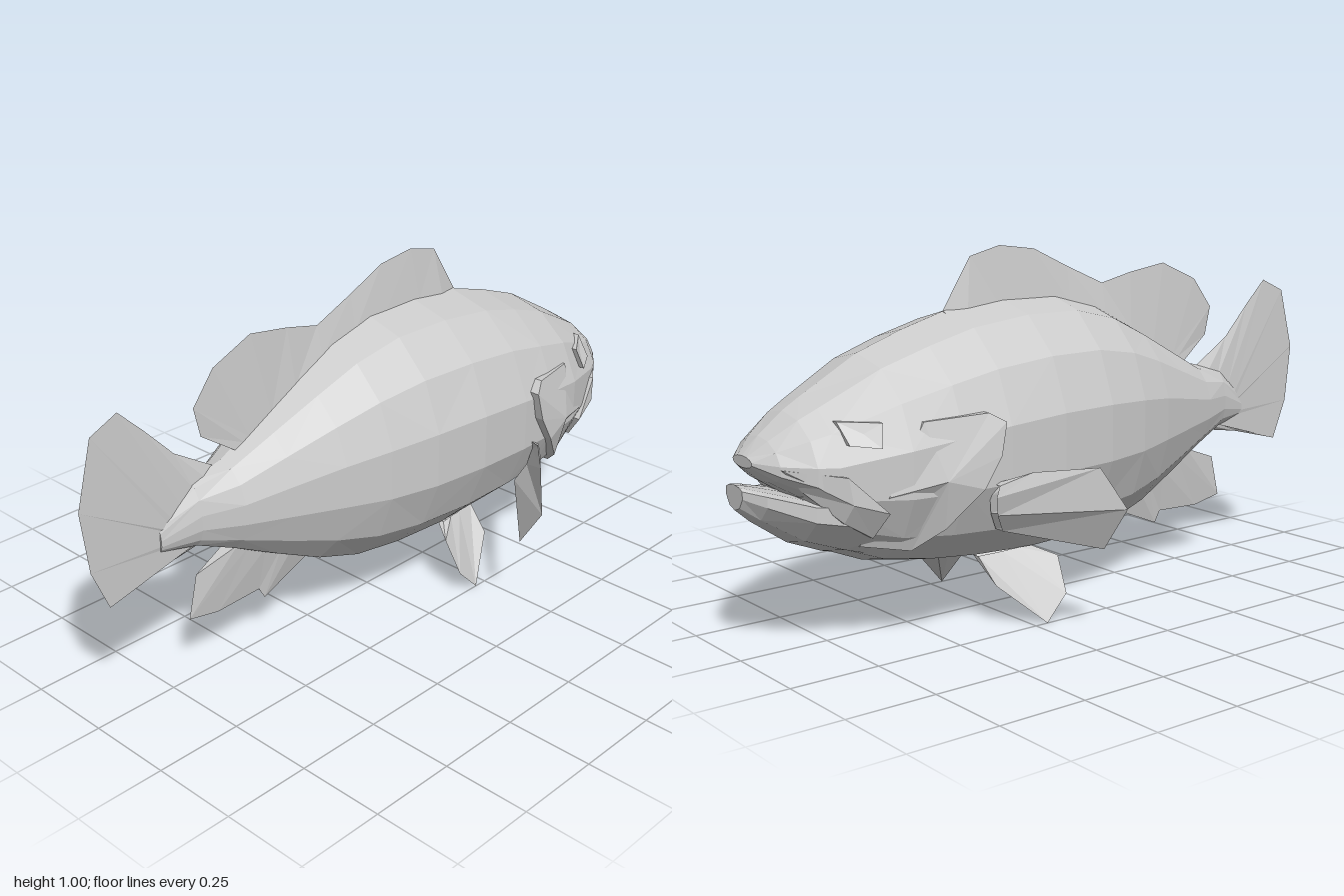
import * as THREE from 'three';

const material = new THREE.MeshStandardMaterial({ color: 0xcccccc, flatShading: true, side: THREE.DoubleSide });

// Body stations: z, top y, bottom y, half width, y of the widest line
const BODY = [
  [-0.975, 0.525, 0.495, 0.05, 0.51], [-0.93, 0.57, 0.455, 0.115, 0.49],
  [-0.86, 0.625, 0.41, 0.175, 0.47], [-0.81, 0.655, 0.27, 0.2, 0.46],
  [-0.64, 0.75, 0.2, 0.265, 0.47], [-0.5, 0.8, 0.175, 0.29, 0.48],
  [-0.36, 0.84, 0.16, 0.3, 0.49], [-0.18, 0.862, 0.15, 0.3, 0.5],
  [0, 0.86, 0.155, 0.28, 0.5], [0.15, 0.82, 0.17, 0.245, 0.5],
  [0.28, 0.755, 0.21, 0.2, 0.5], [0.42, 0.68, 0.28, 0.145, 0.49],
  [0.55, 0.61, 0.35, 0.095, 0.48], [0.66, 0.585, 0.4, 0.05, 0.48], [0.77, 0.5, 0.425, 0.015, 0.45],
];
const JAW = [
  [-1, 0.455, 0.39, 0.045, 0.44], [-0.96, 0.445, 0.355, 0.1, 0.43],
  [-0.86, 0.415, 0.285, 0.165, 0.4], [-0.76, 0.4, 0.245, 0.2, 0.39], [-0.68, 0.36, 0.225, 0.19, 0.34],
];

function mesh(name, positions, indices) {
  const g = new THREE.BufferGeometry();
  g.setAttribute('position', new THREE.Float32BufferAttribute(positions.flat(), 3));
  g.setIndex(indices);
  g.computeVertexNormals();
  const m = new THREE.Mesh(g, material);
  m.name = name;
  return m;
}

// Skins a row of oval sections and closes both ends
function loft(name, stations, sides = 14) {
  const pos = [], idx = [];
  stations.forEach(([z, top, bottom, w, mid]) => {
    for (let i = 0; i < sides; i++) {
      const a = i / sides * Math.PI * 2, c = Math.cos(a);
      pos.push([w * Math.sin(a), mid + c * (c > 0 ? top - mid : mid - bottom), z]);
    }
  });
  for (let s = 0; s < stations.length - 1; s++) {
    for (let i = 0; i < sides; i++) {
      const j = (i + 1) % sides;
      const a = s * sides + i, b = s * sides + j, c = a + sides, d = b + sides;
      // Alternating diagonals, mirrored left to right
      if ((s + Math.min(i, sides - 1 - i)) % 2 === (i < sides / 2 ? 0 : 1)) idx.push(a, b, c, b, d, c);
      else idx.push(a, b, d, a, d, c);
    }
  }
  const last = (stations.length - 1) * sides;
  for (let i = 1; i < sides - 1; i++) idx.push(0, i + 1, i, last, last + i, last + i + 1);
  // Wind the faces outward
  return mesh(name, pos, idx);
}

// Half width of the body at a given z and y
function bodyX(z, y) {
  let k = 0;
  while (k < BODY.length - 2 && BODY[k + 1][0] < z) k++;
  const t = (z - BODY[k][0]) / (BODY[k + 1][0] - BODY[k][0]);
  const [, top, bottom, w, mid] = BODY[k].map((v, n) => THREE.MathUtils.lerp(v, BODY[k + 1][n], t));
  const u = (y - mid) / (y > mid ? top - mid : mid - bottom);
  return w * Math.sqrt(Math.max(0, 1 - u * u));
}

// Wedge fin: a thick root line tapering to a sharp edge line of equal length
function fin(name, root, edge, thick) {
  const n = root.length, pos = [], idx = [];
  for (const s of [-1, 1]) root.forEach(([x, y, z]) => pos.push([x + s * thick, y, z]));
  edge.forEach(p => pos.push(p));
  for (let i = 0; i < n - 1; i++) {
    const l = i, r = n + i, e = 2 * n + i;
    idx.push(l, l + 1, e, l + 1, e + 1, e, r, e, r + 1, r + 1, e, e + 1);
  }
  idx.push(0, 2 * n, n, n - 1, 2 * n - 1, 3 * n - 1);
  return mesh(name, pos, idx);
}
const flat = pts => pts.map(([z, y]) => [-0.003, y, z]);

// Raised plate that follows the flank; outline entries are z, y, lift
function plate(name, outline, cz, cy, lift) {
  const n = outline.length;
  const pos = [[bodyX(cz, cy) + lift, cy, cz]], idx = [];
  outline.forEach(([z, y, h]) => pos.push([bodyX(z, y) + h, y, z]));
  outline.forEach(([z, y]) => pos.push([bodyX(z, y) - 0.03, y, z]));
  for (let i = 0; i < n; i++) {
    const a = 1 + i, b = 1 + (i + 1) % n;
    idx.push(0, a, b, a, a + n, b, b, a + n, b + n);
  }
  return mesh(name, pos, idx);
}

// Parts of the left (+x) side
function sideParts() {
  const g = new THREE.Group();
  g.add(fin('pectoralFin',
    [[0.29, 0.42, -0.41], [0.29, 0.39, -0.42], [0.28, 0.34, -0.41], [0.26, 0.29, -0.38]],
    [[0.355, 0.455, -0.34], [0.465, 0.468, -0.21], [0.515, 0.36, -0.16], [0.435, 0.24, -0.17]], 0.015));
  g.add(fin('pelvicFin',
    [[0.13, 0.19, -0.18], [0.125, 0.19, -0.22], [0.115, 0.185, -0.27], [0.1, 0.18, -0.34]],
    [[0.195, 0.165, -0.13], [0.245, 0.07, -0.14], [0.25, 0, -0.21], [0.18, 0.11, -0.33]], 0.012));
  g.add(plate('gillCover', [
    [-0.6, 0.6, 0], [-0.43, 0.61, 0.015], [-0.39, 0.585, 0.025], [-0.41, 0.5, 0.02], [-0.46, 0.42, 0.025],
    [-0.55, 0.32, 0.025], [-0.61, 0.26, 0.02], [-0.73, 0.28, 0.005], [-0.7, 0.42, 0],
  ], -0.56, 0.45, 0.015));
  g.add(plate('cheek', [
    [-0.93, 0.5, 0.003], [-0.8, 0.48, 0.01], [-0.7, 0.38, 0.015], [-0.72, 0.31, 0.015], [-0.8, 0.36, 0.012], [-0.88, 0.44, 0.01],
  ], -0.79, 0.41, 0.018));
  g.add(plate('eye', [
    [-0.7, 0.605, 0.012], [-0.715, 0.545, 0.012], [-0.785, 0.555, 0.01], [-0.795, 0.61, 0.012],
  ], -0.745, 0.58, 0.002));
  return g;
}

export function createModel() {
  const model = new THREE.Group();
  model.name = 'fish';
  model.add(loft('body', BODY), loft('lowerJaw', JAW, 10));

  model.add(fin('dorsalFin',
    flat([[-0.37, 0.83], [-0.3, 0.84], [-0.2, 0.85], [-0.06, 0.85], [0.06, 0.83], [0.19, 0.79], [0.29, 0.74],
      [0.38, 0.69], [0.43, 0.665], [0.46, 0.65], [0.48, 0.64], [0.5, 0.62]]),
    flat([[-0.37, 0.84], [-0.28, 0.98], [-0.18, 1.005], [-0.06, 0.99], [0.06, 0.935], [0.19, 0.88], [0.3, 0.905],
      [0.43, 0.925], [0.56, 0.87], [0.63, 0.78], [0.61, 0.695], [0.5, 0.68]]), 0.018));

  model.add(fin('tailFin',
    flat([[0.56, 0.58], [0.6, 0.57], [0.65, 0.56], [0.7, 0.54], [0.73, 0.51], [0.72, 0.47], [0.68, 0.44], [0.62, 0.42]]),
    flat([[0.58, 0.605], [0.7, 0.68], [0.79, 0.775], [0.865, 0.848], [0.95, 0.81], [1, 0.625], [0.98, 0.45], [0.93, 0.33]]), 0.018));
  model.add(fin('tailFinLower',
    flat([[0.68, 0.44], [0.62, 0.43], [0.58, 0.42]]),
    flat([[0.93, 0.33], [0.75, 0.375], [0.62, 0.395]]), 0.015));

  model.add(fin('analFin',
    flat([[0.27, 0.23], [0.32, 0.26], [0.36, 0.28], [0.42, 0.3], [0.48, 0.33], [0.52, 0.35]]),
    flat([[0.25, 0.195], [0.41, 0.13], [0.43, 0.165], [0.58, 0.16], [0.68, 0.18], [0.65, 0.305]]), 0.022));

  // Paired parts, mirrored to the other side
  const left = sideParts(), right = sideParts();
  left.name = 'leftSide';
  right.name = 'rightSide';
  right.scale.x = -1;
  model.add(left, right);
  return model;
}
